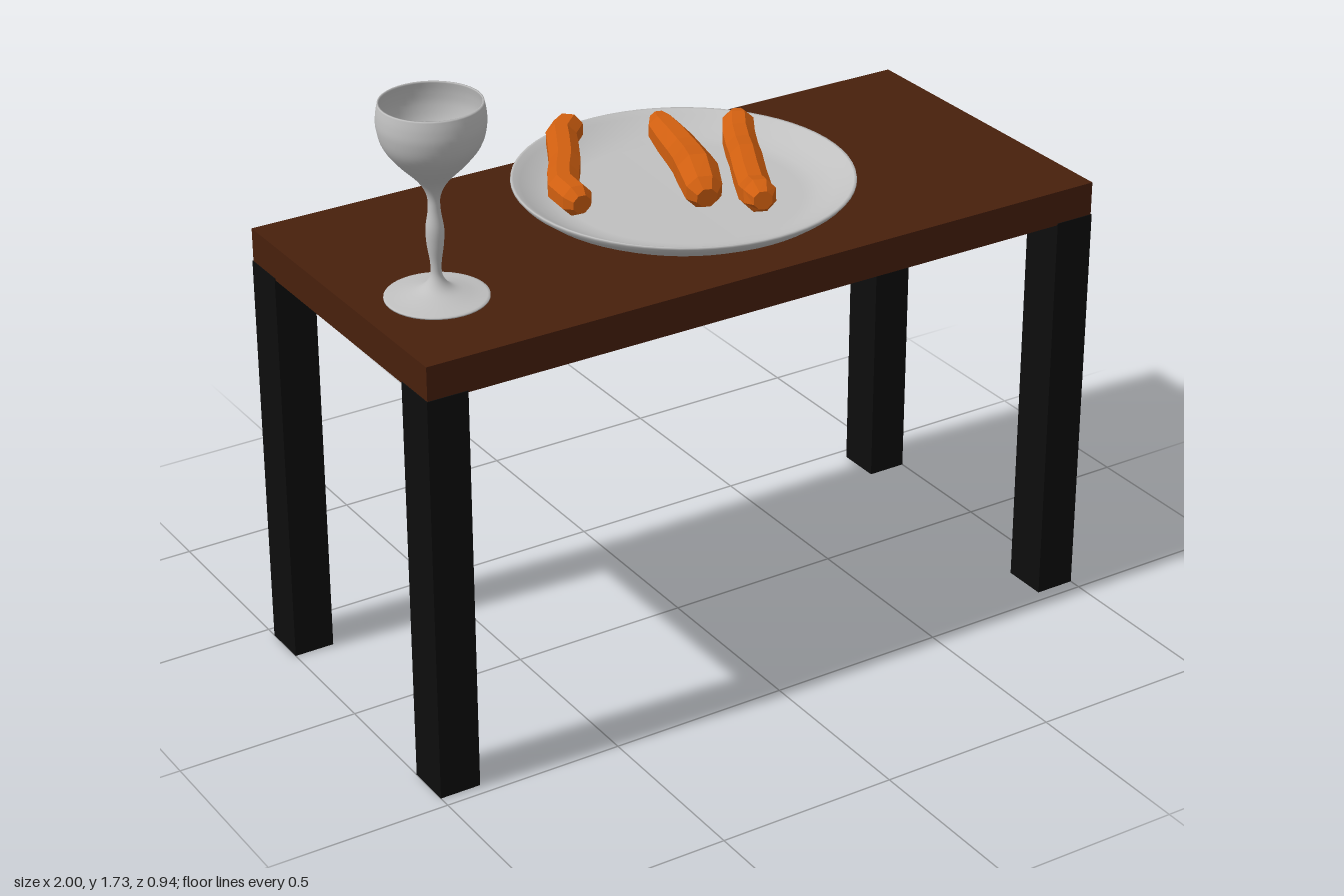
import * as THREE from 'three';

const wood = new THREE.MeshStandardMaterial({ color: 0x48200c });
const black = new THREE.MeshStandardMaterial({ color: 0x0d0d0d });
const silver = new THREE.MeshStandardMaterial({ color: 0xc0c0c0 });
const orange = new THREE.MeshStandardMaterial({ color: 0xd05f10 });
wood.name = 'dark wood';
black.name = 'black leg';
silver.name = 'pale grey';
orange.name = 'sausage orange';

function addMesh(parent, name, geometry, material, x = 0, y = 0, z = 0) {
  const mesh = new THREE.Mesh(geometry, material);
  mesh.name = name;
  mesh.position.set(x, y, z);
  parent.add(mesh);
  return mesh;
}

// Smooth turned shape: a few control points splined into a fine profile
function turned(points, divisions) {
  const curve = new THREE.SplineCurve(points.map(([r, y]) => new THREE.Vector2(r, y)));
  return curve.getPoints(divisions).map((p) => new THREE.Vector2(Math.max(p.x, 0), p.y));
}

// Faceted sausage: octagonal rings along a bent spine of [x, y, z, radius]
function sausageGeometry(spine) {
  const sides = 8;
  const centres = spine.map(([x, y, z]) => new THREE.Vector3(x, y, z));
  const positions = [];
  const index = [];
  const up = new THREE.Vector3(0, 1, 0);
  centres.forEach((p, i) => {
    const before = centres[Math.max(i - 1, 0)];
    const after = centres[Math.min(i + 1, centres.length - 1)];
    const tangent = after.clone().sub(before).normalize();
    const side = tangent.clone().cross(up).normalize();
    const lift = side.clone().cross(tangent);
    for (let j = 0; j < sides; j++) {
      const a = ((j + 0.5) / sides) * Math.PI * 2;
      const v = p.clone()
        .addScaledVector(side, Math.cos(a) * spine[i][3])
        .addScaledVector(lift, Math.sin(a) * spine[i][3]);
      positions.push(v.x, v.y, v.z);
    }
  });
  const last = (centres.length - 1) * sides;
  const startCap = centres.length * sides;
  positions.push(...centres[0].toArray(), ...centres[centres.length - 1].toArray());
  for (let j = 0; j < sides; j++) {
    const k = (j + 1) % sides;
    for (let r = 0; r < last; r += sides) {
      index.push(r + j, r + sides + j, r + k, r + k, r + sides + j, r + sides + k);
    }
    index.push(startCap, j, k, startCap + 1, last + k, last + j);
  }
  const indexed = new THREE.BufferGeometry();
  indexed.setAttribute('position', new THREE.Float32BufferAttribute(positions, 3));
  indexed.setIndex(index);
  const faceted = indexed.toNonIndexed();
  faceted.computeVertexNormals();
  return faceted;
}

export function createModel() {
  const model = new THREE.Group();
  model.name = 'laid table';

  // Table
  const table = new THREE.Group();
  table.name = 'table';
  model.add(table);
  addMesh(table, 'tableTop', new THREE.BoxGeometry(1.996, 0.097, 0.926), wood, 0, 1.1665, 0);
  const legGeometry = new THREE.BoxGeometry(0.113, 1.123, 0.127);
  for (const sx of [-1, 1]) {
    for (const sz of [-1, 1]) {
      const name = (sz > 0 ? 'front' : 'back') + (sx > 0 ? 'Left' : 'Right') + 'Leg';
      addMesh(table, name, legGeometry, black, sx * 0.9435, 0.5615, sz * 0.4015);
    }
  }

  // Plate: shallow dish with a thin rim
  const plateProfile = [
    [0, 0], [0.33, 0], [0.37, 0.012], [0.41, 0.032], [0.44, 0.054], [0.45, 0.066], [0.449, 0.072],
    [0.442, 0.071], [0.425, 0.06], [0.39, 0.04], [0.35, 0.026], [0.31, 0.02], [0, 0.02],
  ].map(([r, y]) => new THREE.Vector2(r, y));
  addMesh(model, 'plate', new THREE.LatheGeometry(plateProfile, 64), silver, 0.03, 1.215, -0.02);

  // Goblet: foot, stem with a soft swelling, and hollow bowl
  const outside = turned([
    [0.132, 0.004], [0.085, 0.012], [0.04, 0.027], [0.017, 0.055], [0.014, 0.09], [0.021, 0.14],
    [0.023, 0.185], [0.016, 0.235], [0.018, 0.275], [0.04, 0.315], [0.088, 0.365], [0.121, 0.41],
    [0.134, 0.455], [0.134, 0.49], [0.129, 0.519],
  ], 70);
  const inside = turned([
    [0.125, 0.519], [0.13, 0.49], [0.13, 0.455], [0.117, 0.412], [0.083, 0.368], [0.035, 0.322],
    [0.012, 0.295], [0, 0.285],
  ], 32);
  const gobletProfile = [new THREE.Vector2(0, 0), new THREE.Vector2(0.132, 0), ...outside, ...inside];
  addMesh(model, 'goblet', new THREE.LatheGeometry(gobletProfile, 40), silver, -0.79, 1.215, 0.14);

  // Three bent sausages
  const sausages = {
    rightSausage: [
      [-0.332, 1.325, 0.072, 0.026], [-0.33, 1.326, 0.045, 0.043], [-0.322, 1.325, -0.035, 0.044],
      [-0.285, 1.322, -0.1, 0.044], [-0.235, 1.32, -0.175, 0.044], [-0.19, 1.322, -0.26, 0.044],
      [-0.16, 1.324, -0.32, 0.044], [-0.11, 1.325, -0.368, 0.043], [-0.088, 1.325, -0.394, 0.026],
    ],
    middleSausage: [
      [-0.068, 1.345, 0.245, 0.028], [-0.058, 1.35, 0.215, 0.05], [-0.03, 1.366, 0.14, 0.057],
      [0.005, 1.352, 0.06, 0.054], [0.035, 1.34, -0.02, 0.052], [0.06, 1.337, -0.11, 0.05],
      [0.08, 1.34, -0.2, 0.043], [0.094, 1.35, -0.247, 0.024],
    ],
    leftSausage: [
      [0.046, 1.342, 0.328, 0.026], [0.058, 1.341, 0.295, 0.045], [0.09, 1.318, 0.225, 0.046],
      [0.13, 1.32, 0.14, 0.046], [0.17, 1.327, 0.06, 0.046], [0.205, 1.318, -0.01, 0.046],
      [0.24, 1.323, -0.08, 0.046], [0.267, 1.341, -0.125, 0.044], [0.284, 1.346, -0.156, 0.026],
    ],
  };
  const food = new THREE.Group();
  food.name = 'sausages';
  model.add(food);
  for (const [name, spine] of Object.entries(sausages)) {
    addMesh(food, name, sausageGeometry(spine), orange);
  }
  return model;
}
